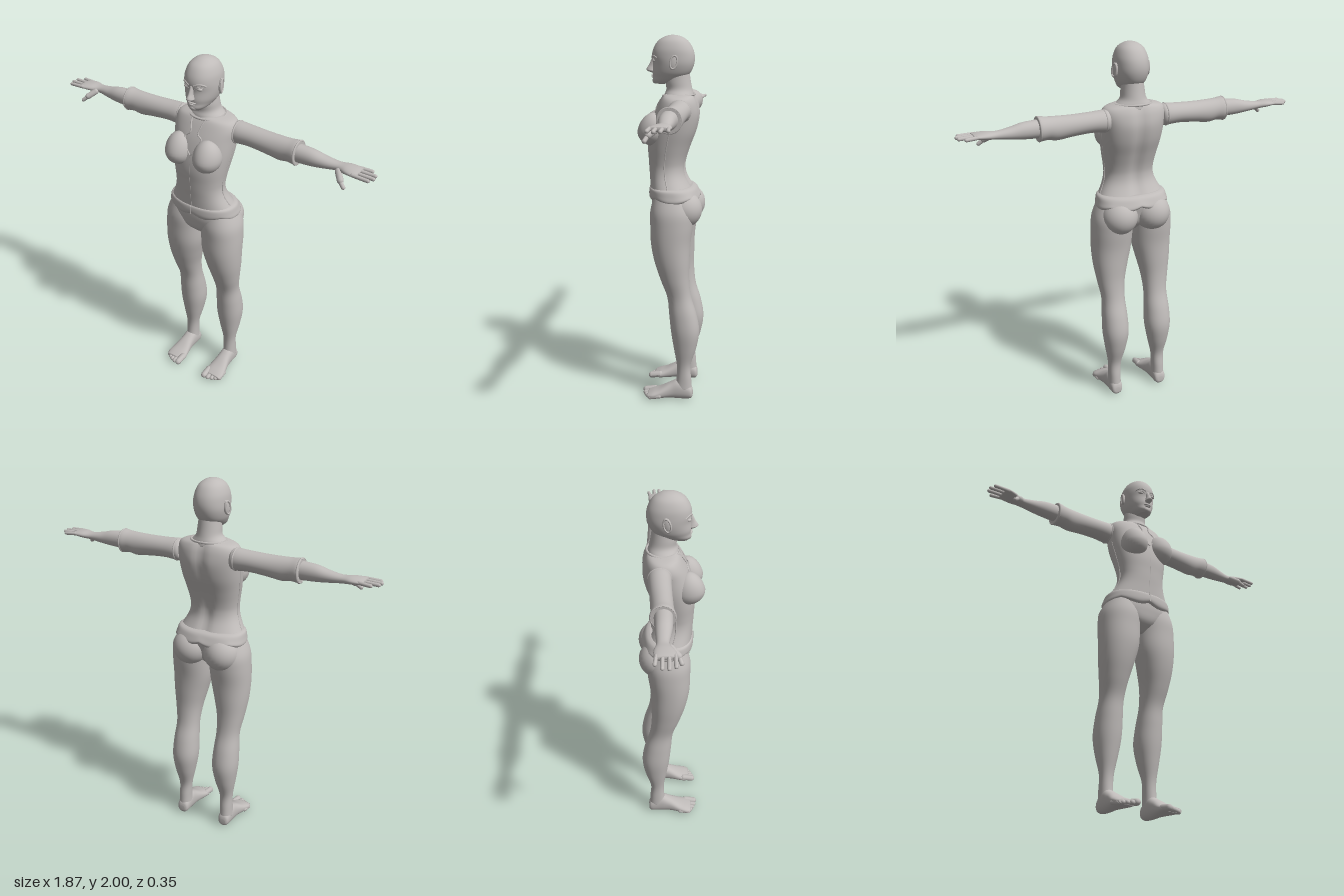
import * as THREE from 'three';

const clay = new THREE.MeshStandardMaterial({ color: 0xbfbbb9 });
clay.name = 'warm grey';

// Catmull-Rom smoothing of cross-section rows
function smooth(rows, steps) {
  const out = [], last = rows.length - 1;
  for (let i = 0; i < last; i++) {
    const [a, b, c, d] = [i - 1, i, i + 1, i + 2].map(k => rows[Math.min(last, Math.max(0, k))]);
    for (let s = 0; s < steps; s++) {
      const t = s / steps;
      out.push(b.map((_, k) => 0.5 * (2 * b[k] + (c[k] - a[k]) * t + (2 * a[k] - 5 * b[k] + 4 * c[k] - d[k]) * t * t
        + (3 * b[k] - a[k] - 3 * c[k] + d[k]) * t * t * t)));
    }
  }
  out.push(rows[last]);
  return out;
}

// Turn all faces outward
function orient(geo) {
  const p = geo.attributes.position, ix = geo.index.array, v = [0, 1, 2].map(() => new THREE.Vector3());
  let volume = 0;
  for (let i = 0; i < ix.length; i += 3) {
    v.forEach((q, k) => q.fromBufferAttribute(p, ix[i + k]));
    volume += v[0].dot(v[1].cross(v[2]));
  }
  if (volume < 0) for (let i = 0; i < ix.length; i += 3) [ix[i], ix[i + 1]] = [ix[i + 1], ix[i]];
  geo.computeVertexNormals();
  return geo;
}

// Closed skin over rows [t, u0, u1, v0, v1]; t runs along the axis, u and v span the section
function loft(axis, rows, { n = 2, seg = 36, steps = 5, warp } = {}) {
  const pos = [], idx = [];
  const put = (t, u, v) => {
    const q = axis === 'y' ? [u, t, v] : axis === 'x' ? [t, u, v] : [u, v, t];
    pos.push(...(warp ? warp(...q) : q));
  };
  const rings = smooth(rows, steps), pw = c => Math.sign(c) * Math.abs(c) ** (2 / n);
  for (const [t, u0, u1, v0, v1] of rings)
    for (let j = 0; j < seg; j++) {
      const a = j / seg * Math.PI * 2;
      put(t, (u0 + u1) / 2 + (u1 - u0) / 2 * pw(Math.cos(a)), (v0 + v1) / 2 + (v1 - v0) / 2 * pw(Math.sin(a)));
    }
  for (let i = 0; i < rings.length - 1; i++)
    for (let j = 0; j < seg; j++) {
      const a = i * seg + j, b = i * seg + (j + 1) % seg;
      idx.push(a, a + seg, b, b, a + seg, b + seg);
    }
  [0, rings.length - 1].forEach((r, e) => {
    const [t, u0, u1, v0, v1] = rings[r], c = pos.length / 3;
    put(t, (u0 + u1) / 2, (v0 + v1) / 2);
    for (let j = 0; j < seg; j++) {
      const a = r * seg + j, b = r * seg + (j + 1) % seg;
      idx.push(...(e ? [c, b, a] : [c, a, b]));
    }
  });
  const geo = new THREE.BufferGeometry();
  geo.setAttribute('position', new THREE.Float32BufferAttribute(pos, 3));
  geo.setIndex(idx);
  return orient(geo);
}

// Height of the front (or back) of an upright loft at x, y
function surfaceZ(rows, x, y, n, front = true) {
  const r = smooth(rows, 16).reduce((a, b) => Math.abs(b[0] - y) < Math.abs(a[0] - y) ? b : a);
  const k = Math.max(0, 1 - Math.abs(x / r[2]) ** n) ** (1 / n);
  return (r[3] + r[4]) / 2 + (front ? 1 : -1) * (r[4] - r[3]) / 2 * k;
}

const ball = (x, y, z, rx, ry, rz) => new THREE.SphereGeometry(1, 28, 20).scale(rx, ry, rz).translate(x, y, z);
const cord = (pts, r, closed = false) =>
  new THREE.TubeGeometry(new THREE.CatmullRomCurve3(pts.map(p => new THREE.Vector3(...p)), closed), 40, r, 8, closed);

// Round-ended digit between two points
function digit(a, b, r) {
  const A = new THREE.Vector3(...a), B = new THREE.Vector3(...b), d = B.clone().sub(A);
  const q = new THREE.Quaternion().setFromUnitVectors(new THREE.Vector3(0, 1, 0), d.clone().normalize());
  return new THREE.CapsuleGeometry(r, d.length(), 6, 12).applyQuaternion(q).translate(...A.add(B).multiplyScalar(0.5).toArray());
}

// Symmetric rows [y, halfWidth, z0, z1]
const even = rows => rows.map(([y, w, a, b]) => [y, -w, w, a, b]);

export function createModel() {
  const model = new THREE.Group();
  model.name = 'figure';
  const add = (name, geo) => {
    const m = new THREE.Mesh(geo, clay);
    m.name = name;
    model.add(m);
  };
  const pair = (name, geo) => {
    add(name + 'Left', geo);
    add(name + 'Right', orient(geo.clone().scale(-1, 1, 1)));
  };

  // Torso, with a groove down the spine
  const torso = even([[1.695, 0.09, -0.11, 0.035], [1.678, 0.155, -0.125, 0.05], [1.64, 0.176, -0.14, 0.072],
    [1.58, 0.172, -0.147, 0.1], [1.5, 0.165, -0.132, 0.122], [1.42, 0.152, -0.102, 0.13], [1.35, 0.14, -0.079, 0.126],
    [1.3, 0.137, -0.072, 0.123], [1.25, 0.15, -0.082, 0.119], [1.185, 0.185, -0.118, 0.115]]);
  add('vest', loft('y', torso, { n: 2.3, seg: 64, warp: (x, y, z) =>
    [x, y, z < -0.03 ? z + 0.013 * Math.exp(-((x / 0.03) ** 2)) : z] }));
  const bust = ball(0, 0, 0, 0.074, 0.078, 0.086), bp = bust.attributes.position;
  for (let i = 0; i < bp.count; i++) {
    const y = bp.getY(i);
    if (y > 0) bp.setXYZ(i, bp.getX(i), y * 1.25, bp.getZ(i) * (1 - 2.2 * y));
  }
  bust.translate(0.086, 1.503, 0.09);
  pair('bust', orient(bust));

  // Vest edges: neckline, collar and side seam
  pair('necklineEdge', cord([[0.042, 1.685], [0.03, 1.65], [0.024, 1.615], [0.048, 1.595], [0.04, 1.565], [0.022, 1.53], [0, 1.505]]
    .map(([x, y]) => [x, y, surfaceZ(torso, x, y, 2.3) + 0.001]), 0.004));
  add('collar', cord([...Array(16)].map((_, i) => {
    const a = i / 16 * Math.PI * 2, s = Math.sin(a);
    return [0.1 * Math.cos(a), 1.688 - 0.004 * s, -0.036 + 0.084 * s];
  }), 0.006, true));
  pair('sideSeam', cord([1.54, 1.45, 1.35, 1.27, 1.2].map(y => {
    const r = smooth(torso, 16).reduce((a, b) => Math.abs(b[0] - y) < Math.abs(a[0] - y) ? b : a);
    return [r[2] - 0.001, y, (r[3] + r[4]) / 2];
  }), 0.0035));
  add('frontSeam', cord([1.5, 1.42, 1.34, 1.26, 1.2].map(y => [0, y, surfaceZ(torso, 0, y, 2.3) - 0.001]), 0.002));

  // Hips, buttocks and scalloped waistband
  add('hips', loft('y', even([[1.2, 0.178, -0.115, 0.11], [1.15, 0.195, -0.13, 0.108], [1.1, 0.2, -0.12, 0.105],
    [1.04, 0.13, -0.1, 0.09], [0.99, 0.03, -0.05, 0.04]]), { n: 2.3 }));
  pair('buttock', ball(0.096, 1.085, -0.074, 0.1, 0.1, 0.099));
  add('waistband', loft('y', even([[1.203, 0.172, -0.11, 0.108], [1.194, 0.19, -0.13, 0.12], [1.17, 0.199, -0.148, 0.123],
    [1.155, 0.203, -0.155, 0.119], [1.146, 0.197, -0.148, 0.108]]), { n: 2.3, seg: 72, warp: (x, y, z) =>
    [x, y < 1.185 ? y - 0.016 * Math.abs(Math.sin(3 * Math.atan2(x, z + 0.02))) * (1.185 - y) / 0.035 : y, z] }));
  add('buckle', new THREE.BoxGeometry(0.004, 0.045, 0.006).translate(0, 1.172, 0.122));

  // Legs
  pair('leg', loft('y', [[1.16, 0.02, 0.19, -0.1, 0.085], [1.08, 0.002, 0.222, -0.13, 0.104], [1, 0.003, 0.23, -0.127, 0.104],
    [0.9, 0.01, 0.23, -0.114, 0.1], [0.8, 0.033, 0.224, -0.11, 0.08], [0.7, 0.056, 0.21, -0.109, 0.047],
    [0.6, 0.065, 0.195, -0.12, 0.011], [0.5, 0.06, 0.201, -0.15, 0], [0.4, 0.058, 0.203, -0.166, -0.01],
    [0.3, 0.075, 0.19, -0.15, -0.026], [0.2, 0.098, 0.173, -0.12, -0.043], [0.12, 0.103, 0.172, -0.124, -0.041],
    [0.06, 0.102, 0.174, -0.128, -0.03]], { n: 2.15 }));
  // Feet and toes
  pair('foot', loft('z', [[-0.133, 0.122, 0.155, 0.02, 0.05], [-0.12, 0.105, 0.17, 0.004, 0.08], [-0.06, 0.1, 0.176, 0, 0.115],
    [-0.01, 0.097, 0.18, 0.003, 0.095], [0.05, 0.086, 0.194, 0.002, 0.062], [0.09, 0.08, 0.2, 0.002, 0.046],
    [0.118, 0.088, 0.192, 0.006, 0.034]], { n: 2.3 }));
  [[0.098, 0.136, 0.018], [0.125, 0.136, 0.013], [0.148, 0.128, 0.012], [0.168, 0.117, 0.012], [0.187, 0.102, 0.012]]
    .forEach(([x, z, r], i) => pair('toe' + (i + 1), digit([x, r + 0.012, z - 0.05], [x, r + 0.004, z], r)));

  // Sleeves with turned cuffs, forearms and palms
  pair('sleeve', loft('x', [[0.15, 1.565, 1.665, -0.105, -0.015], [0.172, 1.558, 1.674, -0.117, 0], [0.25, 1.563, 1.67, -0.115, -0.001],
    [0.35, 1.555, 1.667, -0.111, 0], [0.43, 1.545, 1.668, -0.109, 0.002], [0.48, 1.552, 1.67, -0.109, 0.004],
    [0.52, 1.548, 1.675, -0.113, 0.01], [0.53, 1.552, 1.67, -0.108, 0.006]]));
  const ring = (x, y, z, ry, rz, r) => cord([...Array(12)].map((_, i) => {
    const a = i / 6 * Math.PI;
    return [x, y + ry * Math.cos(a), z + rz * Math.sin(a)];
  }), r, true);
  pair('cuffEdge', ring(0.525, 1.611, -0.052, 0.061, 0.059, 0.005));
  pair('shoulderSeam', ring(0.174, 1.616, -0.058, 0.056, 0.058, 0.005));
  pair('forearm', loft('x', [[0.5, 1.565, 1.66, -0.095, -0.004], [0.6, 1.569, 1.654, -0.093, -0.008], [0.67, 1.577, 1.638, -0.09, -0.018],
    [0.74, 1.587, 1.628, -0.088, -0.028], [0.79, 1.592, 1.63, -0.1, -0.008], [0.83, 1.598, 1.627, -0.101, 0.002],
    [0.855, 1.604, 1.622, -0.096, 0]], { n: 2.1 }));
  // Fingers and thumbs
  [[-0.09, -0.097, 0.895], [-0.063, -0.066, 0.924], [-0.034, -0.036, 0.928], [-0.007, -0.006, 0.915]]
    .forEach(([z0, z1, x], i) => pair('finger' + (i + 1), digit([0.835, 1.613, z0], [x, 1.61, z1], 0.0095)));
  pair('thumbBase', digit([0.755, 1.6, -0.025], [0.785, 1.575, 0.008], 0.016));
  pair('thumb', digit([0.785, 1.573, 0.01], [0.81, 1.552, 0.022], 0.0105));

  // Neck and head
  add('neck', loft('y', even([[1.82, 0.055, -0.09, 0.03], [1.76, 0.062, -0.099, 0.036], [1.72, 0.068, -0.107, 0.032],
    [1.695, 0.09, -0.114, 0.04], [1.67, 0.12, -0.118, 0.045]])));
  const skull = even([[2, 0.008, -0.012, 0.008], [1.993, 0.035, -0.045, 0.037], [1.97, 0.065, -0.083, 0.075], [1.93, 0.083, -0.109, 0.1],
    [1.89, 0.088, -0.119, 0.108], [1.85, 0.087, -0.116, 0.102], [1.81, 0.078, -0.1, 0.105], [1.785, 0.066, -0.075, 0.103],
    [1.763, 0.05, -0.03, 0.104], [1.747, 0.028, 0.025, 0.09]]);
  add('head', loft('y', skull, { n: 2.15, seg: 48 }));
  const face = (x, y) => surfaceZ(skull, x, y, 2.15);
  // Face details
  add('nose', loft('y', even([[1.805, 0.013, 0.085, 0.112], [1.815, 0.019, 0.085, 0.136], [1.825, 0.016, 0.085, 0.139],
    [1.845, 0.011, 0.085, 0.126], [1.882, 0.01, 0.08, 0.108]])));
  pair('eye', ball(0.037, 1.868, face(0.037, 1.868) - 0.007, 0.017, 0.009, 0.012));
  const arc = pts => pts.map(([x, y]) => [x, y, face(x, y) - 0.001]);
  pair('brow', cord(arc([[0.014, 1.884], [0.035, 1.893], [0.054, 1.891], [0.066, 1.882]]), 0.0045));
  pair('eyelid', cord(arc([[0.019, 1.866], [0.035, 1.878], [0.056, 1.871]]), 0.003));
  add('upperLip', ball(0, 1.792, 0.101, 0.023, 0.005, 0.011));
  add('lowerLip', ball(0, 1.782, 0.1, 0.019, 0.006, 0.011));
  add('chin', ball(0, 1.763, 0.09, 0.022, 0.016, 0.017));
  pair('ear', ball(0, 0, 0, 0.009, 0.039, 0.022).rotateX(-0.2).rotateY(0.25).translate(0.09, 1.862, -0.018));
  pair('earRim', ring(0, 0, 0, 0.034, 0.018, 0.005).rotateX(-0.2).rotateY(0.25).translate(0.096, 1.862, -0.018));
  return model;
}
